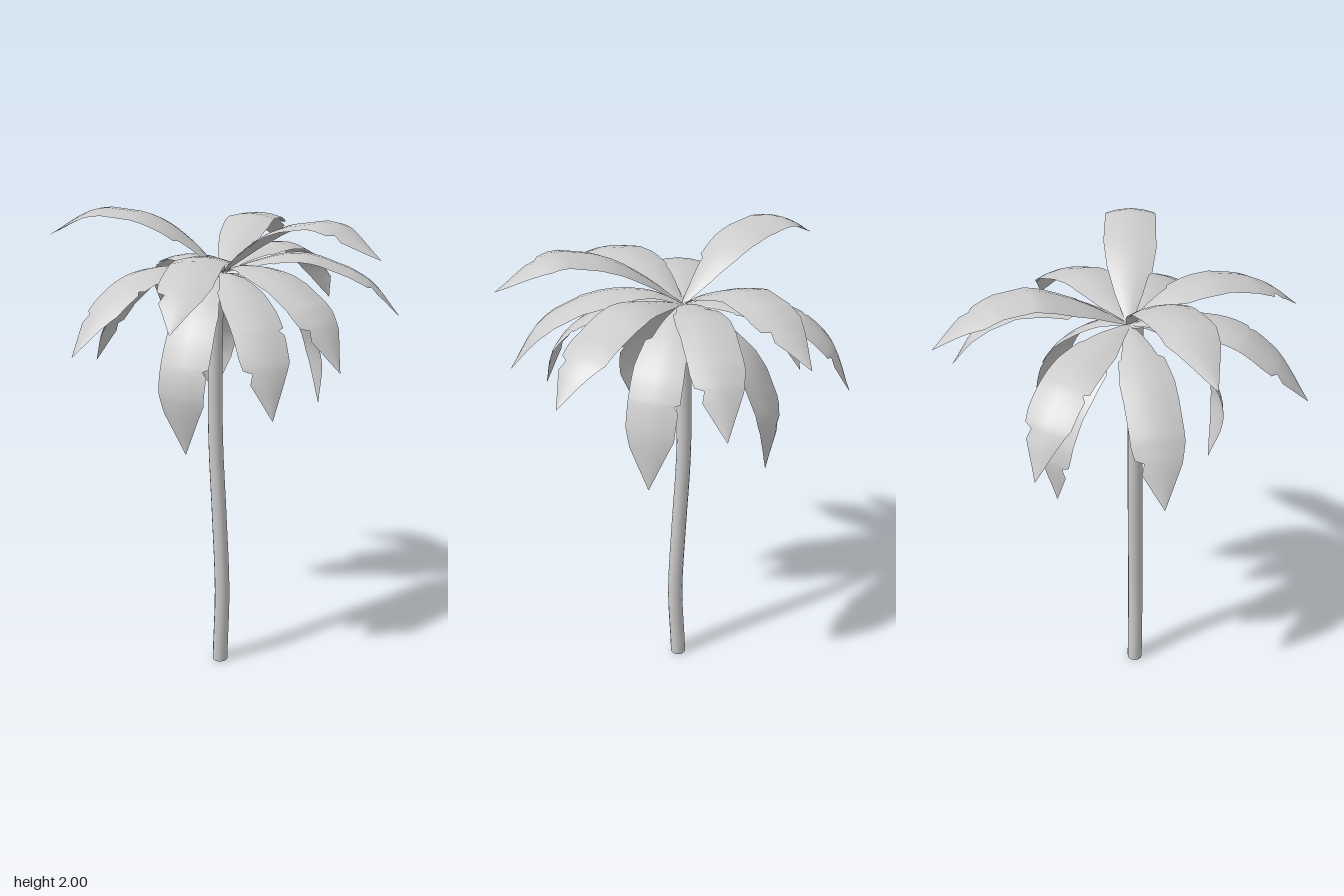
import * as THREE from 'three';

const material = new THREE.MeshStandardMaterial({ color: 0xcccccc, side: THREE.DoubleSide });
const crown = new THREE.Vector3(-0.045, 1.75, 0.005);

// Half-width outlines (position along spine, half-width) with torn notches
const outlines = {
  tornBase: [[0, 0.01], [0.12, 0.035], [0.25, 0.062], [0.265, 0.085], [0.4, 0.1], [0.7, 0.1],
    [0.8, 0.08], [1, 0.001]],
  tornMiddle: [[0, 0.01], [0.15, 0.05], [0.3, 0.088], [0.45, 0.1], [0.56, 0.102], [0.575, 0.08],
    [0.6, 0.098], [0.74, 0.092], [1, 0.001]],
  tornTip: [[0, 0.01], [0.15, 0.05], [0.25, 0.072], [0.265, 0.085], [0.4, 0.1], [0.7, 0.098],
    [0.76, 0.09], [0.78, 0.058], [0.83, 0.07], [1, 0.001]],
  whole: [[0, 0.01], [0.15, 0.055], [0.3, 0.088], [0.45, 0.103], [0.74, 0.1], [1, 0.001]],
};

// Tip x, y, z, three (fraction of reach, height) pairs along the spine, then both edges
const fronds = [
  [0.66, 1.885, -0.07, 0.2, 1.87, 0.4, 1.955, 0.68, 1.995, 'whole', 'tornTip'],
  [-0.665, 1.865, 0.365, 0.2, 1.88, 0.4, 1.96, 0.7, 1.98, 'tornBase', 'whole'],
  [-0.34, 1.76, -0.665, 0.23, 1.85, 0.55, 1.925, 0.82, 1.86, 'whole', 'tornTip'],
  [0.31, 1.69, 0.63, 0.22, 1.84, 0.52, 1.87, 0.81, 1.8, 'tornBase', 'tornTip'],
  [0.5, 1.585, -0.44, 0.2, 1.8, 0.45, 1.83, 0.82, 1.73, 'whole', 'tornTip'],
  [0.62, 1.5, 0.09, 0.2, 1.8, 0.55, 1.78, 0.82, 1.68, 'tornBase', 'tornTip'],
  [-0.15, 1.53, 0.685, 0.28, 1.8, 0.58, 1.785, 0.82, 1.68, 'tornMiddle', 'tornTip'],
  [-0.05, 1.53, -0.69, 0.2, 1.8, 0.55, 1.82, 0.82, 1.715, 'tornBase', 'tornTip'],
  [-0.65, 1.44, -0.25, 0.25, 1.77, 0.65, 1.74, 0.87, 1.63, 'tornMiddle', 'tornTip'],
  [0.47, 1.33, 0.28, 0.2, 1.76, 0.67, 1.66, 0.9, 1.52, 'tornMiddle', 'tornTip'],
  [-0.6, 1.32, 0.2, 0.28, 1.74, 0.66, 1.64, 0.86, 1.5, 'tornBase', 'tornTip'],
  [0.165, 1.165, -0.365, 0.32, 1.72, 0.77, 1.58, 0.96, 1.4, 'tornMiddle', 'tornBase'],
  [-0.33, 1.125, -0.24, 0.33, 1.7, 0.83, 1.55, 1.06, 1.35, 'tornTip', 'tornBase'],
  [0.06, 1.1, 0.32, 0.28, 1.73, 0.8, 1.6, 1.12, 1.38, 'tornMiddle', 'tornBase'],
];

function widthAt(outline, t) {
  const i = Math.max(1, outline.findIndex(p => p[0] >= t - 1e-6));
  const [a, b] = [outline[i - 1], outline[i]];
  return THREE.MathUtils.lerp(a[1], b[1], (t - a[0]) / (b[0] - a[0]));
}

// A thin arched blade swept along a drooping spine
function makeFrond([tx, ty, tz, f1, y1, f2, y2, f3, y3, ...edges]) {
  const dx = tx - crown.x, dz = tz - crown.z;
  const points = [[f1, y1], [f2, y2], [f3, y3], [1, ty]]
    .map(([f, y]) => new THREE.Vector3(crown.x + dx * f, y, crown.z + dz * f));
  const spine = new THREE.CatmullRomCurve3([crown, ...points], false, 'centripetal');
  const side = new THREE.Vector3(-dz, 0, dx).normalize();
  const [left, right] = edges.map(name => outlines[name]);
  const columns = [-1, -0.5, 0, 0.5, 1];
  const positions = [], indices = [];

  // Every outline break becomes a row, plus even steps for the curve
  const steps = [0.07, 0.2, 0.34, 0.5, 0.65, 0.88, 0.94];
  const rows = [...new Set([...steps, ...[...left, ...right].map(p => p[0])])].sort((a, b) => a - b);

  rows.forEach((t, r) => {
    const centre = spine.getPointAt(t);
    const up = new THREE.Vector3().crossVectors(side, spine.getTangentAt(t)).normalize();
    columns.forEach((c, k) => {
      const width = widthAt(c < 0 ? left : right, t);
      const p = centre.clone().addScaledVector(side, c * width)
        .addScaledVector(up, -c * c * width * 0.17);
      positions.push(p.x, p.y, p.z);
      if (r && k) {
        const d = r * 5 + k, b = d - 5;
        indices.push(b - 1, d - 1, b, b, d - 1, d);
      }
    });
  });

  const geometry = new THREE.BufferGeometry();
  geometry.setAttribute('position', new THREE.Float32BufferAttribute(positions, 3));
  // Rows run outward and columns run clockwise, so reverse to face upward
  geometry.setIndex(indices.reverse());
  geometry.computeVertexNormals();
  return geometry;
}

// Gently swaying, slightly tapered trunk
function makeTrunk() {
  const height = 1.75;
  const sway = new THREE.SplineCurve([[-0.037, 0], [-0.023, 0.4], [-0.038, 0.8], [-0.057, 1.15],
    [-0.057, 1.45], [-0.047, 1.75]].map(p => new THREE.Vector2(...p)));
  const geometry = new THREE.CylinderGeometry(0.029, 0.033, height, 14, 20);
  const pos = geometry.attributes.position;
  for (let i = 0; i < pos.count; i++) {
    const y = pos.getY(i) + height / 2;
    pos.setXYZ(i, pos.getX(i) + sway.getPoint(y / height).x, y, pos.getZ(i) + 0.031);
  }
  geometry.computeVertexNormals();
  return geometry;
}

export function createModel() {
  const model = new THREE.Group();
  model.name = 'palmTree';

  const trunk = new THREE.Mesh(makeTrunk(), material);
  trunk.name = 'trunk';
  model.add(trunk);

  const leaves = new THREE.Group();
  leaves.name = 'fronds';
  fronds.forEach((spec, i) => {
    const frond = new THREE.Mesh(makeFrond(spec), material);
    frond.name = `frond${i + 1}`;
    leaves.add(frond);
  });
  model.add(leaves);
  return model;
}
